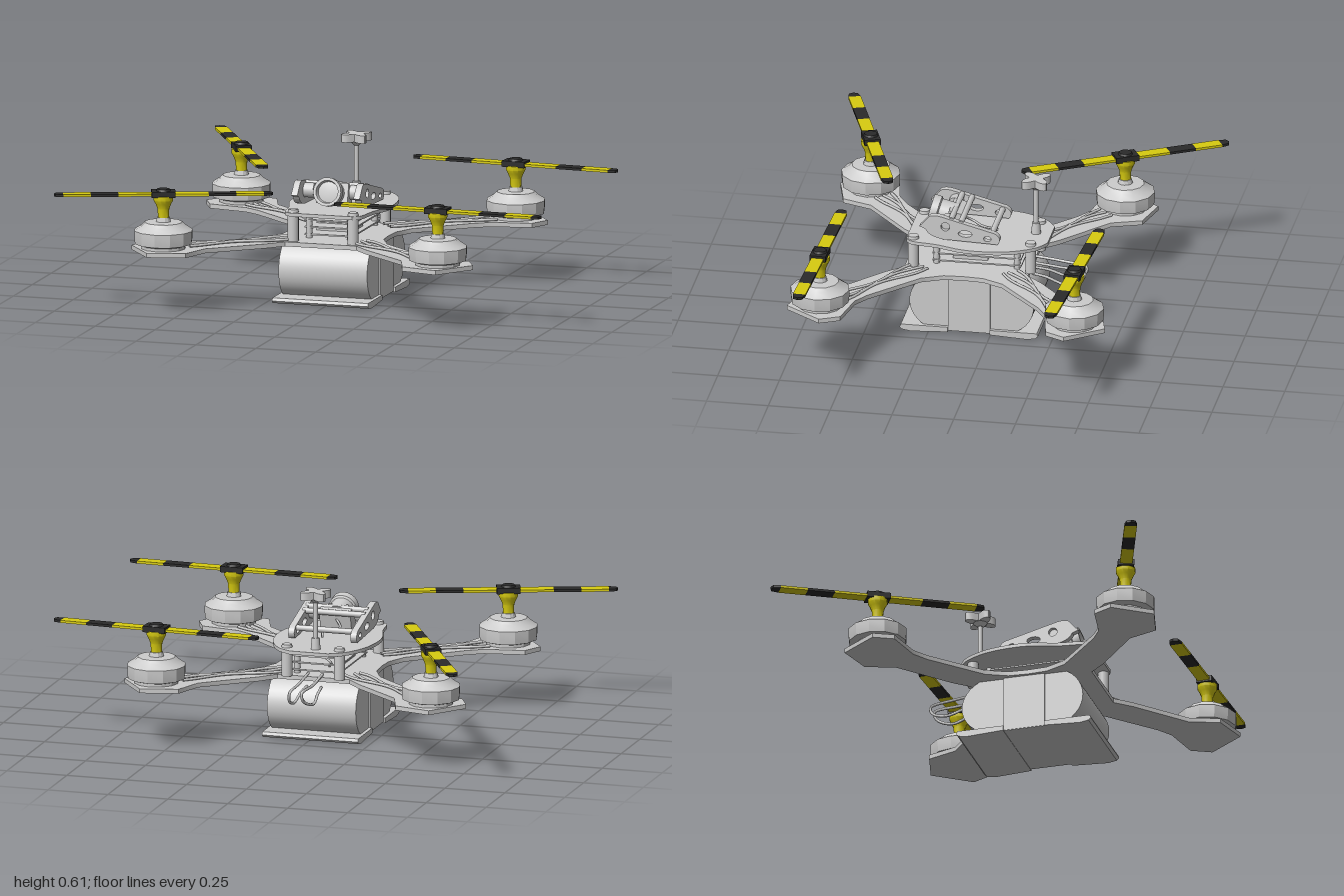
import * as THREE from 'three';
import { toCreasedNormals } from 'three/addons/utils/BufferGeometryUtils.js';

const grey = new THREE.MeshStandardMaterial({ color: 0xcccccc, side: THREE.DoubleSide });
const yellow = new THREE.MeshStandardMaterial({ color: 0xd8cc10 });
const black = new THREE.MeshStandardMaterial({ color: 0x2a2a2a });
const V = (x, y, z) => new THREE.Vector3(x, y, z);
const MID_Z = 0.105;

export function createModel() {
  const root = new THREE.Group();
  root.name = 'quadcopter';
  const body = new THREE.Group();
  body.name = 'body';
  body.position.x = -0.012;
  root.add(body);

  const add = (name, geo, x = 0, y = 0, z = 0, mat = grey, parent = body) => {
    const m = new THREE.Mesh(geo, mat);
    m.name = name;
    m.position.set(x, y, z);
    parent.add(m);
    return m;
  };
  const box = (w, h, d) => new THREE.BoxGeometry(w, h, d);
  const cyl = (r1, r2, h, n = 16) => new THREE.CylinderGeometry(r1, r2, h, n);
  const shapeOf = pts => new THREE.Shape(pts.map(p => new THREE.Vector2(p[0], p[1])));
  // Horizontal slab from an x/z outline; its top lies at y = 0
  const slab = (shape, depth) => toCreasedNormals(
    new THREE.ExtrudeGeometry(shape, { depth, bevelEnabled: false, curveSegments: 10 }).rotateX(Math.PI / 2), 0.6);
  // Upright plate from a z/y outline, centred on x = 0
  const sidePlate = (shape, width) => toCreasedNormals(
    new THREE.ExtrudeGeometry(shape, { depth: width, bevelEnabled: false, curveSegments: 12 })
      .translate(0, 0, -width / 2).rotateY(-Math.PI / 2), 0.6);
  const wire = (name, pts, r = 0.005) => add(name,
    new THREE.TubeGeometry(new THREE.CatmullRomCurve3(pts.map(p => V(...p))), 40, r, 6));

  // Lower frame: one quarter of the outline mirrored into four arms
  const quarter = [[0.205, 0], [0.21, 0.08], [0.25, 0.165], [0.45, 0.345], [0.513, 0.385], [0.673, 0.415],
    [0.713, 0.495], [0.603, 0.643], [0.453, 0.605], [0.41, 0.485], [0.21, 0.315], [0.15, 0.25]];
  const flip = (sx, sz, rev) => {
    const q = quarter.map(([x, z]) => [x * sx, z * sz + MID_Z]);
    return rev ? q.reverse() : q;
  };
  const outline = [...flip(1, 1), ...flip(-1, 1, true), ...flip(-1, -1), ...flip(1, -1, true)];
  add('lowerFrame', slab(shapeOf(outline), 0.018), 0, 0.257, 0);

  // Upper deck: rounded, narrowing to the back
  const deckHalf = [[0.13, 0.35], [0.16, 0.32], [0.175, 0.22], [0.205, 0.12], [0.21, 0.03],
    [0.19, -0.08], [0.14, -0.17], [0.08, -0.213]];
  const deck = new THREE.Shape();
  deck.moveTo(0.13, 0.35);
  deck.splineThru(deckHalf.slice(1).map(p => new THREE.Vector2(...p)));
  deck.lineTo(-0.08, -0.213);
  deck.splineThru(deckHalf.slice(0, 7).reverse().map(p => new THREE.Vector2(-p[0], p[1])));
  deck.closePath();
  add('upperDeck', slab(deck, 0.014), 0, 0.374, 0);

  // Standoffs, screws and the electronics stack between the decks
  for (const s of [-1, 1]) {
    for (const [x, z] of [[0.125, 0.322], [0.11, -0.15]]) {
      add('standoff', cyl(0.022, 0.022, 0.105), s * x, 0.309, z);
      add('screwHead', cyl(0.02, 0.022, 0.012), s * x, 0.38, z);
    }
    for (const z of [0.235, -0.09]) add('stackPost', cyl(0.013, 0.013, 0.085, 10), s * 0.085, 0.298, z);
  }
  for (const y of [0.272, 0.302, 0.33]) add('circuitBoard', box(0.2, 0.006, 0.36), 0, y, 0.07);
  add('controllerBlock', box(0.15, 0.045, 0.14), 0, 0.287, 0.1);
  wire('innerWire', [[0.03, 0.335, 0.13], [0.06, 0.352, 0.02], [0.02, 0.34, -0.05], [-0.06, 0.315, -0.11], [-0.03, 0.275, -0.03]]);

  // Battery with bulging ends
  const pack = new THREE.Shape();
  pack.moveTo(-0.1, 0.022);
  pack.bezierCurveTo(-0.2, 0.07, -0.2, 0.19, -0.1, 0.24);
  pack.lineTo(0.26, 0.24);
  pack.bezierCurveTo(0.35, 0.19, 0.35, 0.07, 0.26, 0.022);
  pack.closePath();
  add('battery', sidePlate(pack, 0.37));
  // Strap round the battery
  for (const s of [-1, 1]) add('strapSide', box(0.008, 0.23, 0.17), s * 0.188, 0.126, 0.085);
  add('strapBottom', box(0.38, 0.014, 0.17), 0, 0.017, 0.085);
  // Landing skids with raised outer ends
  const skid = shapeOf([[0, 0.008], [0.15, 0], [0.185, 0.006], [0.195, 0.016], [0.19, 0.028], [0, 0.028]]);
  add('frontSkid', sidePlate(skid, 0.4), 0, 0, 0.17);
  add('rearSkid', sidePlate(skid, 0.4)).rotation.y = Math.PI;

  // Battery leads looping out at the back
  for (const s of [-1, 1]) {
    wire('batteryLead', [[s * 0.03, 0.215, -0.14], [s * 0.035, 0.205, -0.2], [s * 0.04, 0.18, -0.28],
      [s * 0.03 + 0.01, 0.205, -0.345], [s * 0.025 + 0.01, 0.237, -0.355], [s * 0.03, 0.25, -0.25], [s * 0.03, 0.265, -0.12]], 0.006);
  }

  // Camera cage: two slotted cheeks joined by bars
  const cheek = new THREE.Shape();
  cheek.moveTo(0.295, 0.435);
  cheek.lineTo(0.255, 0.48);
  cheek.quadraticCurveTo(0.235, 0.49, 0.2, 0.48);
  cheek.lineTo(-0.01, 0.425);
  cheek.quadraticCurveTo(-0.045, 0.405, -0.02, 0.378);
  cheek.lineTo(0.2, 0.385);
  cheek.quadraticCurveTo(0.26, 0.395, 0.27, 0.425);
  cheek.closePath();
  for (const [z, y, rx, ry] of [[0.19, 0.44, 0.018, 0.018], [0.11, 0.415, 0.028, 0.014], [0.02, 0.4, 0.015, 0.011]]) {
    cheek.holes.push(new THREE.Path().absellipse(z, y, rx, ry, 0, Math.PI * 2, true));
  }
  for (const s of [-1, 1]) {
    add('cameraCheek', sidePlate(cheek, 0.026), s * 0.13);
    add('cameraPivot', cyl(0.03, 0.03, 0.05).rotateZ(Math.PI / 2), s * 0.1, 0.44, 0.19);
  }
  for (const [z, y] of [[0.005, 0.415], [0.13, 0.455], [0.17, 0.465]]) {
    add('cageBar', cyl(0.012, 0.012, 0.26, 10).rotateZ(Math.PI / 2), 0, y, z);
  }
  // Camera, tilted slightly upward
  const camera = new THREE.Group();
  camera.name = 'camera';
  camera.position.set(0, 0.435, 0.2);
  camera.rotation.x = -0.25;
  body.add(camera);
  add('cameraHousing', box(0.13, 0.085, 0.06), 0, 0, -0.03, grey, camera);
  const lens = [[0, -0.03], [0.05, -0.03], [0.05, 0.04], [0.058, 0.045], [0.058, 0.075], [0.046, 0.075], [0.042, 0.055], [0, 0.062]];
  add('cameraLens', toCreasedNormals(new THREE.LatheGeometry(lens.map(p => new THREE.Vector2(...p)), 20)
    .rotateX(Math.PI / 2), 0.6), 0, 0, 0, grey, camera);
  wire('cameraWire', [[0, 0.43, 0.15], [-0.03, 0.4, 0.11], [0.02, 0.4, 0.06], [0.01, 0.385, 0.0]]);

  // Antenna mast with a four-lobed head
  add('antennaBase', cyl(0.016, 0.02, 0.05), -0.01, 0.395, -0.15);
  add('antennaMast', cyl(0.01, 0.01, 0.2, 12), -0.01, 0.49, -0.15);
  const clover = [];
  for (let i = 0; i < 48; i++) {
    const a = i / 48 * Math.PI * 2, r = 0.048 - 0.02 * Math.cos(4 * a);
    clover.push([r * Math.cos(a), r * Math.sin(a)]);
  }
  add('antennaHead', slab(shapeOf(clover), 0.032), -0.01, 0.613, -0.15);
  add('antennaCollar', cyl(0.03, 0.012, 0.018), -0.01, 0.574, -0.15);

  // Motor units: bell, yellow adapter and banded propeller
  const bell = [[0, 0], [0.09, 0], [0.09, 0.012], [0.116, 0.02], [0.119, 0.045], [0.119, 0.073], [0.09, 0.092],
    [0.076, 0.106], [0.03, 0.108], [0.026, 0.125], [0, 0.125]].map(p => new THREE.Vector2(...p));
  const adapter = [[0, 0], [0.022, 0], [0.024, 0.04], [0.032, 0.06], [0.04, 0.075], [0.04, 0.092], [0, 0.092]]
    .map(p => new THREE.Vector2(...p));
  const bands = [[0.04, 0.18, yellow], [0.18, 0.29, black], [0.29, 0.4, yellow]];
  const tip = shapeOf([[0.4, -0.025], [0.43, -0.018], [0.437, 0], [0.43, 0.018], [0.4, 0.025]]);
  const units = [[1, 1, -0.03], [1, -1, -0.06], [-1, -1, -1.06], [-1, 1, 0.34]];
  for (const [sx, sz, angle] of units) {
    const unit = new THREE.Group();
    unit.name = 'motorUnit';
    unit.position.set(sx * 0.573, 0.257, MID_Z + sz * 0.515);
    body.add(unit);
    add('motorBell', toCreasedNormals(new THREE.LatheGeometry(bell, 12), 0.4), 0, 0, 0, grey, unit);
    add('propellerAdapter', toCreasedNormals(new THREE.LatheGeometry(adapter, 12), 0.6), 0, 0.12, 0, yellow, unit);
    const prop = new THREE.Group();
    prop.name = 'propeller';
    prop.position.y = 0.218;
    prop.rotation.y = angle;
    unit.add(prop);
    add('propellerHub', box(0.095, 0.024, 0.065), 0, 0.002, 0, black, prop);
    add('hubCap', cyl(0.025, 0.03, 0.01), 0, 0.017, 0, black, prop);
    for (const turn of [0, Math.PI]) {
      const blade = new THREE.Group();
      blade.name = 'blade';
      blade.rotation.y = turn;
      prop.add(blade);
      for (const [a, b, mat] of bands) add('bladeBand', box(b - a, 0.01, 0.05), (a + b) / 2, 0, 0, mat, blade);
      add('bladeTip', slab(tip, 0.01), 0, 0.005, 0, black, blade);
    }
    // Wavy motor leads lying along the arm
    for (const k of [-1, 0, 1]) {
      const pts = [];
      for (let i = 0; i <= 8; i++) {
        const t = i / 8, off = k * 0.022 + 0.016 * Math.sin(t * 7 + k * 1.5);
        pts.push([sx * (0.5 - 0.36 * t + off * 0.66), 0.263, MID_Z + sz * (0.45 - 0.27 * t - off * 0.75)]);
      }
      wire('motorLead', pts, 0.006);
    }
  }
  return root;
}
